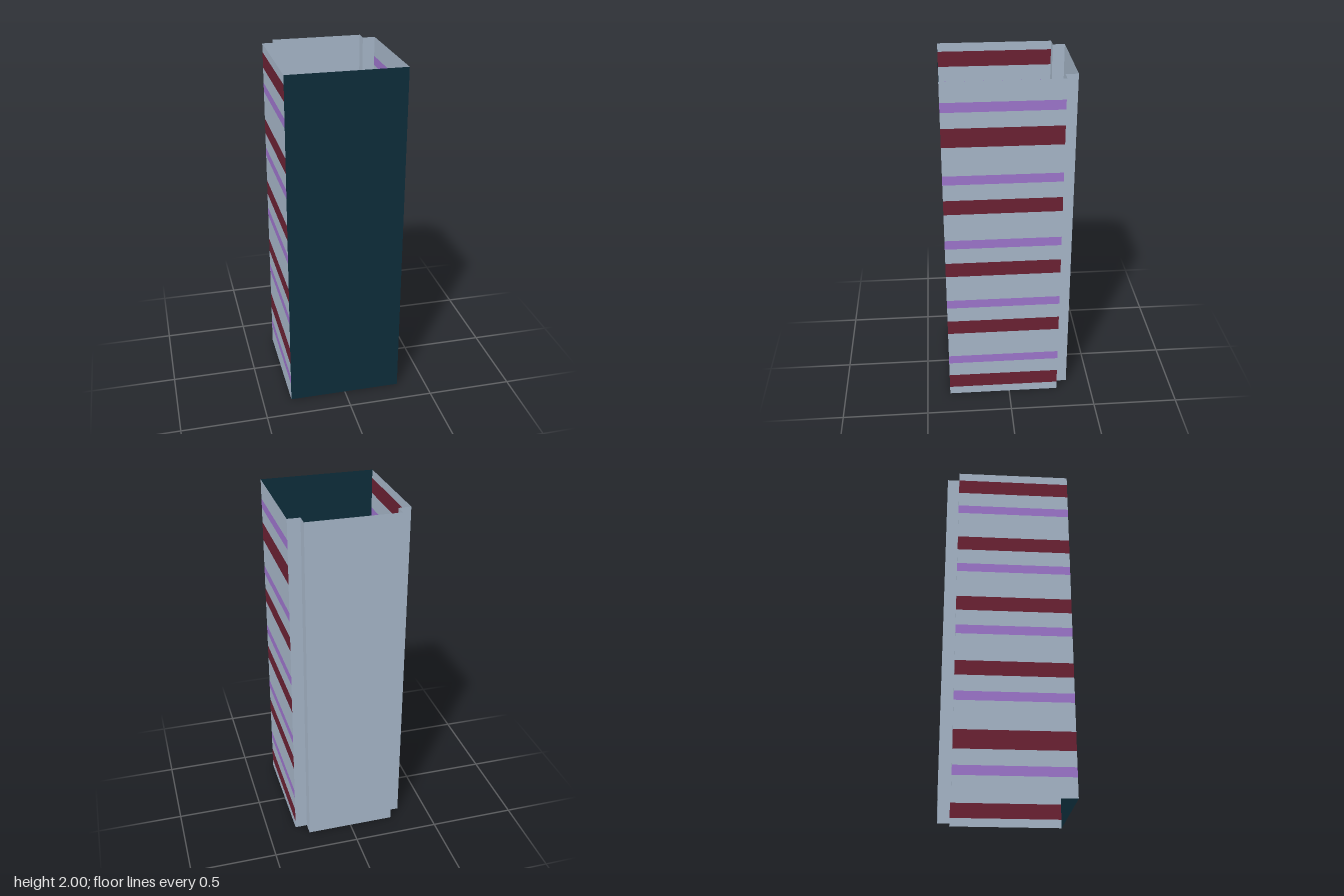
import * as THREE from 'three';

const H = 2, W = 0.331, FRONT = 0.3625, STEP = -0.293, BACK = -0.3625, INNER = 0.26;

// Stripe edges [bottom, top] on the left wall; the right wall has them upside down
const RED = [[0.05, 0.14], [0.447, 0.535], [0.842, 0.93], [1.24, 1.326], [1.638, 1.745]];
const PURPLE = [[0.23, 0.283], [0.627, 0.68], [1.023, 1.077], [1.42, 1.473], [1.833, 1.887]];

export function createModel() {
  const mat = (name, color) => {
    const m = new THREE.MeshStandardMaterial({ color, side: THREE.DoubleSide });
    m.name = name;
    return m;
  };
  const paleBlue = mat('paleBlue', 0xa5b5c7);
  const darkTeal = mat('darkTeal', 0x0d2d3a);
  const red = mat('darkRed', 0x6b2133);
  const purple = mat('purple', 0x9c74cb);

  const model = new THREE.Group();
  model.name = 'openColumn';

  // Upright sheet between two plan points [x, z], its outer face on the right of a -> b
  function sheet(parent, name, [ax, az], [bx, bz], material, y0 = 0, y1 = H) {
    const length = Math.hypot(bx - ax, bz - az);
    const mesh = new THREE.Mesh(new THREE.PlaneGeometry(length, y1 - y0), material);
    mesh.name = name;
    mesh.position.set((ax + bx) / 2, (y0 + y1) / 2, (az + bz) / 2);
    mesh.rotation.y = Math.atan2(az - bz, bx - ax);
    parent.add(mesh);
  }

  // Side wall made of coloured bands stacked from the floor up
  function stripedWall(name, a, b, flipped) {
    const wall = new THREE.Group();
    wall.name = name;
    const stripes = [
      ...RED.map(([y0, y1]) => ({ y0, y1, material: red, label: 'redStripe' })),
      ...PURPLE.map(([y0, y1]) => ({ y0, y1, material: purple, label: 'purpleStripe' })),
    ].map((s) => (flipped ? { ...s, y0: H - s.y1, y1: H - s.y0 } : s));
    stripes.sort((s, t) => s.y0 - t.y0);
    let y = 0;
    for (const s of stripes) {
      sheet(wall, 'plainBand', a, b, paleBlue, y, s.y0);
      sheet(wall, s.label, a, b, s.material, s.y0, s.y1);
      y = s.y1;
    }
    sheet(wall, 'plainBand', a, b, paleBlue, y, H);
    model.add(wall);
  }

  // Front panel and the two striped sides
  sheet(model, 'frontPanel', [-W, FRONT], [W, FRONT], darkTeal);
  stripedWall('leftWall', [W, FRONT], [W, STEP], false);
  stripedWall('rightWall', [-W, STEP], [-W, FRONT], true);

  // Back panel standing proud between two notched corners
  sheet(model, 'leftNotchLedge', [W, STEP], [INNER, STEP], paleBlue);
  sheet(model, 'leftNotchReturn', [INNER, STEP], [INNER, BACK], paleBlue);
  sheet(model, 'backPanel', [INNER, BACK], [-INNER, BACK], paleBlue);
  sheet(model, 'rightNotchReturn', [-INNER, BACK], [-INNER, STEP], paleBlue);
  sheet(model, 'rightNotchLedge', [-INNER, STEP], [-W, STEP], paleBlue);

  return model;
}
